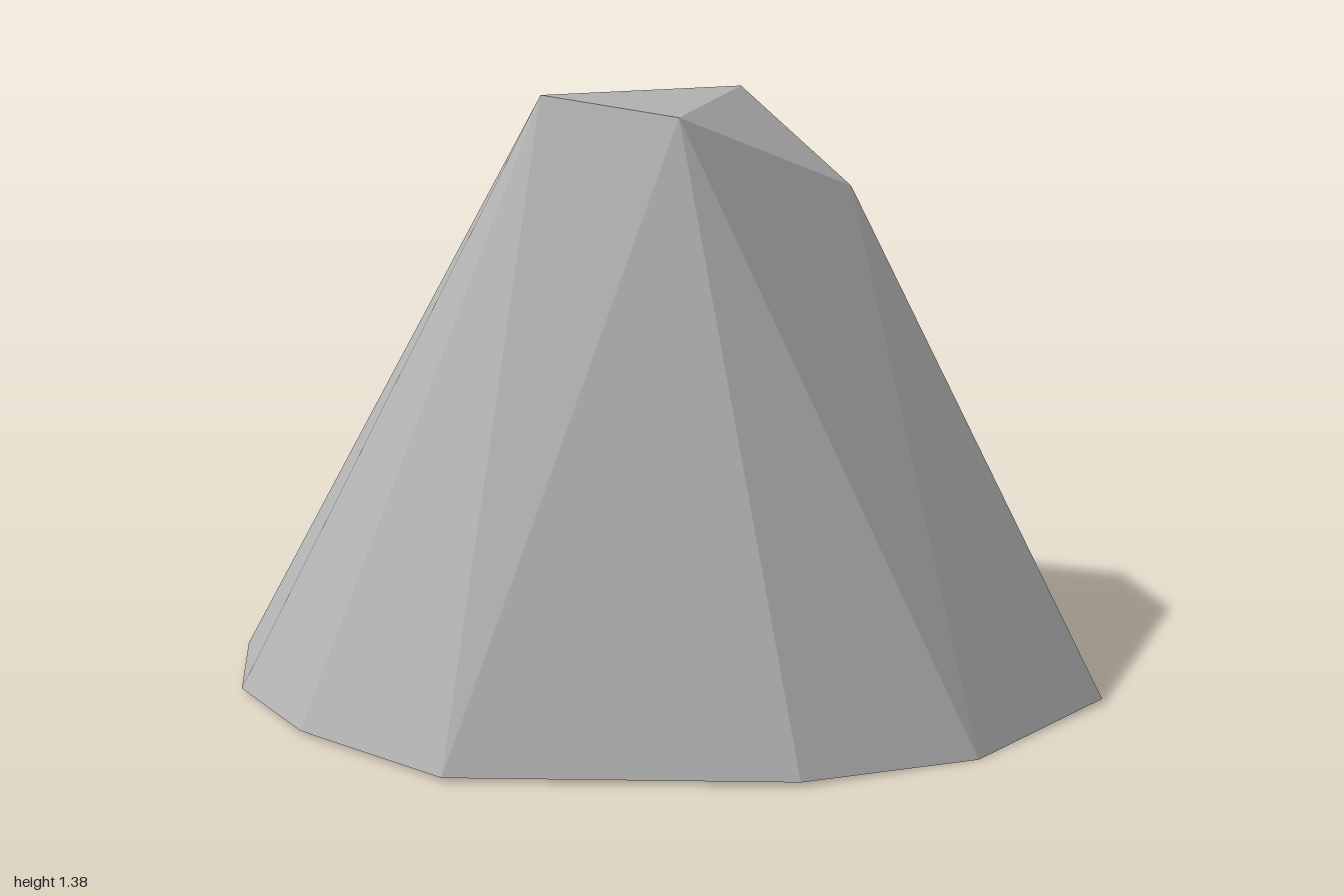
import * as THREE from 'three';

export function createModel() {
  const group = new THREE.Group();
  group.name = 'boulder';
  const stone = new THREE.MeshStandardMaterial({ color: 0xb4b4b4, flatShading: true, side: THREE.DoubleSide });
  stone.name = 'grey stone';

  // Foot of the rock, clockwise seen from above
  const base = [
    [0.19, 0.02, -0.89], [0.74, 0, -0.6], [1, 0.01, 0.45], [0.65, 0, 0.76],
    [0.25, 0.01, 0.88], [-0.5, 0.01, 0.81], [-0.82, 0.01, 0.53], [-0.98, 0.01, 0.26],
    [-1, 0.01, -0.05], [-0.94, 0.01, -0.36], [-0.67, 0.01, -0.6], [-0.21, 0.01, -0.84],
  ];
  // Shoulder corners: each fans over the foot corners from..to
  const rim = [
    { p: [0.01, 1.29, -0.22], from: 11, to: 12 },
    { p: [0.51, 1.01, -0.18], from: 0, to: 2 },
    { p: [0.44, 1.16, 0.16], from: 2, to: 3 },
    { p: [0.03, 1.34, 0.35], from: 3, to: 5 },
    { p: [-0.27, 1.38, 0.24], from: 5, to: 8 },
    { p: [-0.4, 1.03, -0.24], from: 8, to: 11 },
  ];
  const peak = [0.2, 1.375, 0];

  const points = [];
  const face = (a, b, c) => points.push(...a, ...b, ...c);

  // Sloping sides, open underneath
  rim.forEach(({ p, from, to }, k) => {
    for (let i = from; i < to; i++) face(base[(i + 1) % 12], base[i], p);
    face(base[to % 12], p, rim[(k + 1) % 6].p);
  });

  // Faceted crown around the peak, with one lower facet at the back left
  const crown = rim.slice(0, 5).map((r) => r.p);
  crown.forEach((p, k) => face(peak, crown[(k + 1) % 5], p));
  face(rim[5].p, rim[4].p, rim[0].p);

  const geometry = new THREE.BufferGeometry();
  geometry.setAttribute('position', new THREE.Float32BufferAttribute(points, 3));
  geometry.computeVertexNormals();
  const rock = new THREE.Mesh(geometry, stone);
  rock.name = 'rockShell';
  group.add(rock);
  return group;
}
